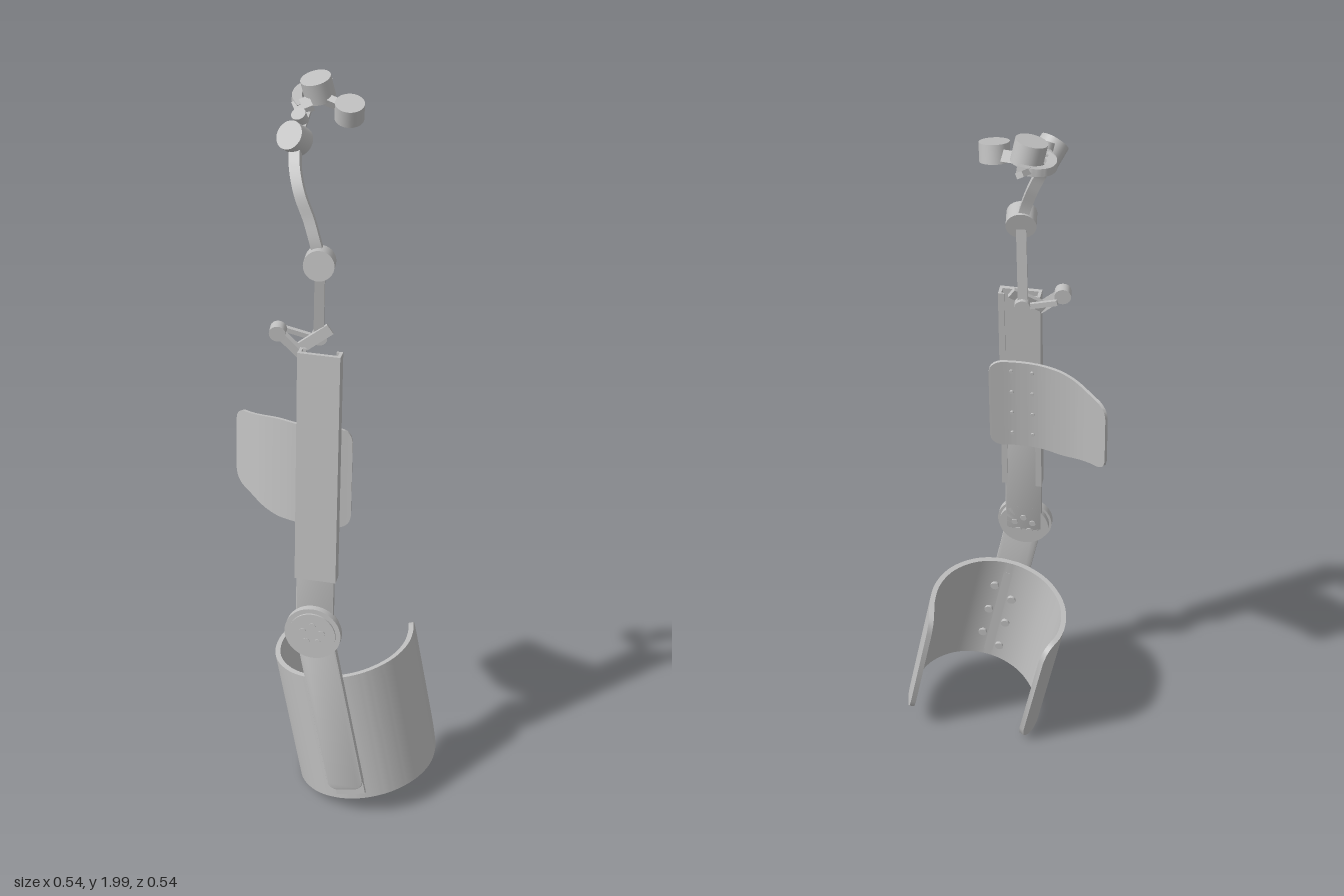
import * as THREE from 'three';
import { toCreasedNormals } from 'three/addons/utils/BufferGeometryUtils.js';

const V = (p) => new THREE.Vector3(...p);
const UP = new THREE.Vector3(0, 1, 0);

export function createModel() {
  const grey = new THREE.MeshStandardMaterial({ color: 0xc0c0c0 });
  grey.name = 'light grey';
  const model = new THREE.Group();
  model.name = 'armBrace';

  function add(parent, name, geometry, pos = [0, 0, 0]) {
    const mesh = new THREE.Mesh(geometry, grey);
    mesh.name = name;
    mesh.position.set(...pos);
    parent.add(mesh);
    return mesh;
  }
  const box = (parent, name, size, pos) => add(parent, name, new THREE.BoxGeometry(...size), pos);

  // cylinder centred on a point, along an axis
  function can(parent, name, pos, axis, r, len, sides = 32) {
    const m = add(parent, name, new THREE.CylinderGeometry(r, r, len, sides), pos);
    m.quaternion.setFromUnitVectors(UP, V(axis).normalize());
    return m;
  }
  // straight bar between two points
  function bar(parent, name, a, b, w, d) {
    const A = V(a), B = V(b), dir = B.clone().sub(A);
    const m = add(parent, name, new THREE.BoxGeometry(w, dir.length(), d), A.clone().add(B).multiplyScalar(0.5).toArray());
    m.quaternion.setFromUnitVectors(UP, dir.normalize());
    return m;
  }
  // rectangular strap swept along a smooth curve
  function strap(parent, name, pts, w, d) {
    const s = new THREE.Shape();
    s.moveTo(-w / 2, -d / 2).lineTo(w / 2, -d / 2).lineTo(w / 2, d / 2).lineTo(-w / 2, d / 2);
    const geo = new THREE.ExtrudeGeometry(s, {
      steps: 28, bevelEnabled: false, extrudePath: new THREE.CatmullRomCurve3(pts.map(V)),
    });
    return add(parent, name, toCreasedNormals(geo, 0.6), [0, 0, 0]);
  }
  // flat plate with rounded corners
  function plate(parent, name, x, y0, y1, r, depth, z, bevel = 0.003) {
    const s = new THREE.Shape();
    const a = -x + bevel, b = x - bevel, c = y0 + bevel, d = y1 - bevel;
    s.moveTo(a + r, c).lineTo(b - r, c).absarc(b - r, c + r, r, -Math.PI / 2, 0)
      .lineTo(b, d - r).absarc(b - r, d - r, r, 0, Math.PI / 2)
      .lineTo(a + r, d).absarc(a + r, d - r, r, Math.PI / 2, Math.PI)
      .lineTo(a, c + r).absarc(a + r, c + r, r, Math.PI, Math.PI * 1.5);
    const geo = new THREE.ExtrudeGeometry(s, {
      depth: depth - 2 * bevel, bevelThickness: bevel, bevelSize: bevel, bevelSegments: 2, curveSegments: 8,
    });
    return add(parent, name, toCreasedNormals(geo, 0.5), [0, 0, z + bevel]);
  }
  // curved sheet: path in x/z from left to right, heights along it, rounded corners
  function shell(parent, name, path, thick, lo, hi, R) {
    const curve = new THREE.CatmullRomCurve3(path.map(([x, z]) => new THREE.Vector3(x, 0, z)));
    const n = 100, len = curve.getLength(), pos = [], idx = [];
    for (let i = 0; i <= n; i++) {
      const u = i / n, p = curve.getPointAt(u), t = curve.getTangentAt(u);
      const d = Math.min(u, 1 - u) * len;
      const cut = d < R ? R - Math.sqrt(R * R - (R - d) ** 2) : 0;
      const y0 = lo(u) + cut, y1 = hi(u) - cut;
      const ix = p.x + t.z * thick, iz = p.z - t.x * thick;
      pos.push(p.x, y0, p.z, p.x, y1, p.z, ix, y1, iz, ix, y0, iz);
      if (i < n) for (let k = 0; k < 4; k++) {
        const a = i * 4 + k, b = i * 4 + (k + 1) % 4;
        idx.push(a, a + 4, b + 4, a, b + 4, b);
      }
    }
    const e = n * 4;
    idx.push(0, 1, 2, 0, 2, 3, e, e + 2, e + 1, e, e + 3, e + 2);
    const geo = new THREE.BufferGeometry();
    geo.setAttribute('position', new THREE.Float32BufferAttribute(pos, 3));
    geo.setIndex(idx);
    return add(parent, name, toCreasedNormals(geo, 0.6));
  }
  // group whose +z follows the leaning plane of the brace
  function leaning(name, pos, roll = 0) {
    const g = new THREE.Group();
    g.name = name;
    g.position.set(...pos);
    g.lookAt(pos[0] - 0.14, pos[1] + 0.09, pos[2] + 1);
    g.rotateZ(roll);
    model.add(g);
    return g;
  }

  // upper arm beam: channel open to the back, with a sliding plate inside
  const upper = leaning('upperBeam', [-0.053, 0.603, 0.205]);
  box(upper, 'beamWeb', [0.108, 0.645, 0.01], [0.002, 0.48, 0]);
  for (const s of [-1, 1]) {
    box(upper, 'beamFlange', [0.008, 0.645, 0.026], [0.002 + s * 0.05, 0.48, -0.013]);
    box(upper, 'beamLip', [0.016, 0.645, 0.004], [0.002 + s * 0.046, 0.48, -0.026]);
  }
  plate(upper, 'slidingPlate', 0.05, -0.02, 0.45, 0.008, 0.014, -0.018);

  // elbow hinge
  const Z = [0, 0, 1];
  can(upper, 'hingeBack', [0, 0, -0.01], Z, 0.068, 0.016, 48);
  can(upper, 'hingeDisc', [0, 0, 0.006], Z, 0.075, 0.018, 48);
  can(upper, 'hingeCap', [0, 0, 0.017], Z, 0.062, 0.006, 48);
  for (let i = 0; i < 5; i++) {
    const a = i * Math.PI * 0.4 + 0.3;
    for (const z of [0.02, -0.019])
      can(upper, 'hingeScrew', [Math.cos(a) * 0.026, Math.sin(a) * 0.026, z], Z, 0.009, 0.004, 12);
  }

  // forearm strut
  const lower = leaning('forearmStrut', [-0.053, 0.603, 0.205], 0.197);
  plate(lower, 'strut', 0.05, -0.505, 0.03, 0.025, 0.02, -0.012, 0.004);

  // forearm cuff with bolts on the inside
  const cuff = leaning('forearmCuff', [0.045, 0.243, 0.05], 0.197);
  shell(cuff, 'cuffShell', [[-0.155, -0.115], [-0.183, -0.05], [-0.187, 0.02], [-0.165, 0.09], [-0.11, 0.152],
    [-0.04, 0.183], [0.03, 0.185], [0.1, 0.158], [0.158, 0.1], [0.186, 0.03], [0.188, -0.04], [0.172, -0.12]],
  0.014, () => -0.195, () => 0.195, 0.05);
  for (const y of [-0.12, -0.02, 0.08]) for (const s of [-1, 1])
    can(cuff, 'cuffBolt', [s * 0.028, y + s * 0.02, 0.168], Z, 0.012, 0.01, 16);
  box(cuff, 'cuffSpacer', [0.08, 0.33, 0.02], [0, -0.01, 0.183]);

  // upper arm pad with rivets
  const pad = leaning('upperArmPad', [-0.053, 1.05, 0.16]);
  const grow = (u) => THREE.MathUtils.smoothstep(u, 0, 0.5);
  shell(pad, 'padShell', [[-0.238, -0.132], [-0.19, -0.092], [-0.14, -0.058], [-0.054, -0.026], [0.02, -0.021], [0.09, -0.03]],
    0.008, (u) => -0.105 - 0.04 * grow(u), (u) => 0.108 + 0.03 * grow(u), 0.035);
  for (const y of [-0.1, -0.03, 0.04, 0.11]) for (const x of [-0.025, 0.03])
    can(pad, 'padRivet', [x, y, -0.032], Z, 0.005, 0.006, 10);

  // forked bracket above the beam
  const fork = new THREE.Group();
  fork.name = 'forkBracket';
  model.add(fork);
  bar(fork, 'forkArm', [-0.155, 1.435, 0.075], [-0.09, 1.375, 0.09], 0.028, 0.012);
  bar(fork, 'forkArm', [-0.105, 1.38, 0.085], [-0.02, 1.435, 0.065], 0.028, 0.012);
  bar(fork, 'forkBrace', [-0.135, 1.42, 0.047], [-0.05, 1.4, 0.055], 0.014, 0.01);
  can(fork, 'forkKnob', [-0.148, 1.428, 0.075], Z, 0.021, 0.03, 20);
  can(fork, 'forkPin', [-0.048, 1.405, 0.052], Z, 0.02, 0.024, 20);

  // jointed linkage
  const link = new THREE.Group();
  link.name = 'shoulderLinkage';
  model.add(link);
  bar(link, 'lowerRod', [-0.05, 1.39, 0.055], [-0.043, 1.62, 0.075], 0.025, 0.014);
  can(link, 'lowerJoint', [-0.043, 1.63, 0.09], [0, 0.2, 1], 0.038, 0.05);
  strap(link, 'curvedLink', [[-0.045, 1.64, 0.075], [-0.055, 1.68, 0.072], [-0.07, 1.73, 0.06], [-0.093, 1.79, 0.045],
    [-0.107, 1.84, 0.01], [-0.11, 1.88, -0.03]], 0.02, 0.027);
  can(link, 'middleJoint', [-0.113, 1.893, -0.038], [-0.45, 0.6, 0.6], 0.036, 0.05);
  bar(link, 'middleLink', [-0.11, 1.895, -0.05], [-0.095, 1.93, -0.135], 0.03, 0.016);
  can(link, 'smallPin', [-0.105, 1.925, -0.085], [-0.2, 0.8, 0.4], 0.018, 0.03, 20);
  bar(link, 'hookNeck', [-0.095, 1.93, -0.11], [-0.11, 1.935, -0.155], 0.045, 0.016);
  strap(link, 'hook', [[-0.105, 1.93, -0.13], [-0.122, 1.935, -0.175], [-0.112, 1.94, -0.215], [-0.082, 1.945, -0.232],
    [-0.045, 1.95, -0.229]], 0.018, 0.024);
  bar(link, 'hookTip', [-0.072, 1.945, -0.232], [-0.052, 1.952, -0.262], 0.02, 0.014);
  can(link, 'upperJoint', [-0.07, 1.963, -0.175], [-0.22, 1, 0.1], 0.038, 0.055);
  bar(link, 'endLink', [-0.055, 1.94, -0.165], [0.01, 1.93, -0.13], 0.028, 0.018);
  can(link, 'endJoint', [0.011, 1.932, -0.118], [0.05, 1, 0.25], 0.036, 0.046);

  return model;
}
